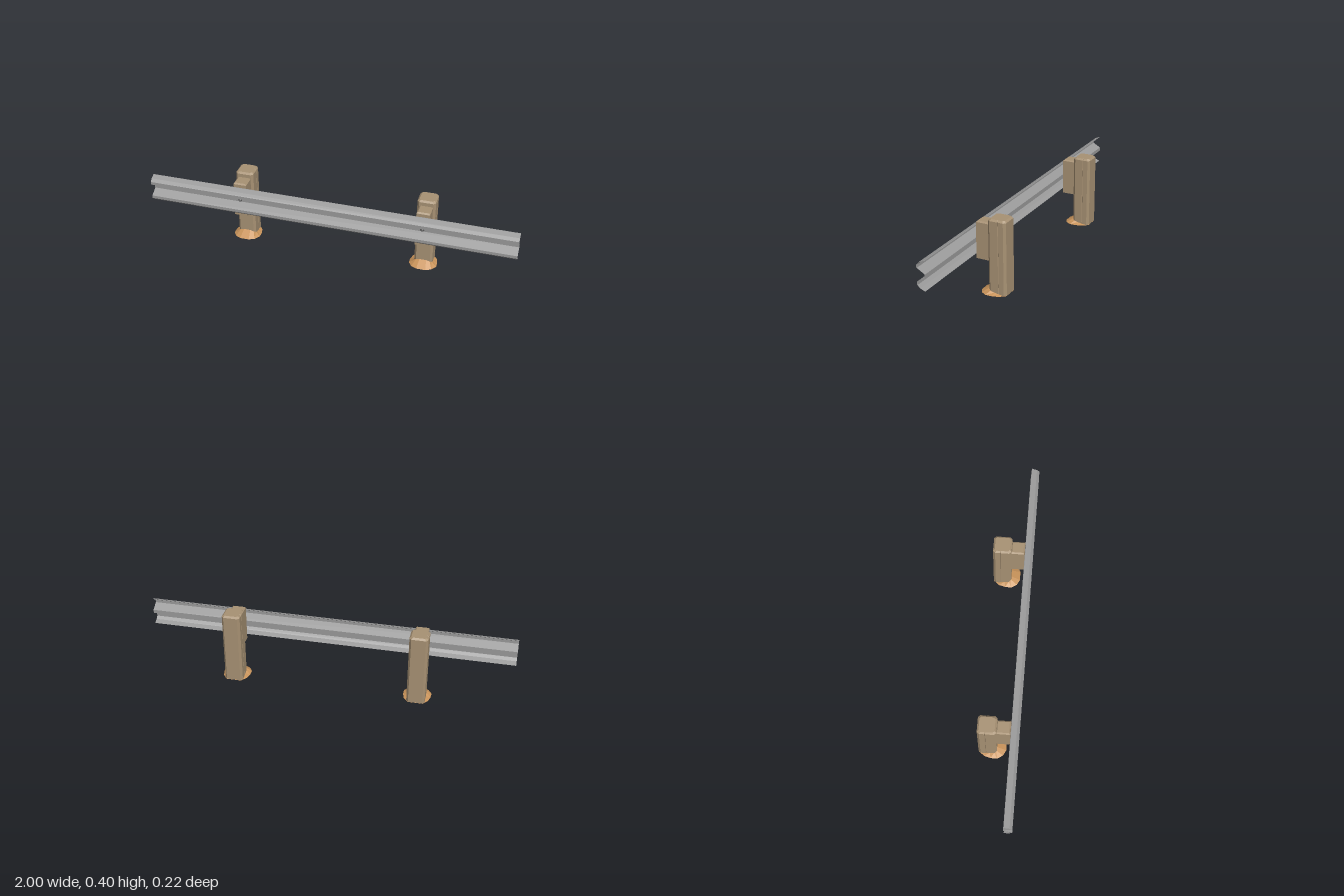
import * as THREE from 'three';

const mat = (name, color, side = THREE.FrontSide) => {
  const m = new THREE.MeshStandardMaterial({ color, side });
  m.name = name;
  return m;
};

// Joins rings of [x, y, z] points (front runs towards +x) and caps both ends.
function loft(rings) {
  const pos = [];
  const n = rings[0].length;
  for (let r = 0; r < rings.length - 1; r++) {
    for (let i = 0; i < n; i++) {
      const j = (i + 1) % n;
      const [a, b, c, d] = [rings[r][i], rings[r][j], rings[r + 1][j], rings[r + 1][i]];
      pos.push(...a, ...b, ...c, ...a, ...c, ...d);
    }
  }
  const cap = (ring, up) => {
    const flat = ring.map(([x, , z]) => new THREE.Vector2(x, z));
    for (const [i, j, k] of THREE.ShapeUtils.triangulateShape(flat, [])) {
      const area = (flat[j].x - flat[i].x) * (flat[k].y - flat[i].y)
        - (flat[j].y - flat[i].y) * (flat[k].x - flat[i].x);
      const order = (area < 0) === up ? [i, j, k] : [i, k, j];
      order.forEach((v) => pos.push(...ring[v]));
    }
  };
  cap(rings[0], false);
  cap(rings[rings.length - 1], true);
  const g = new THREE.BufferGeometry();
  g.setAttribute('position', new THREE.Float32BufferAttribute(pos, 3));
  g.computeVertexNormals();
  return g;
}

// Mirrors the +x half of a ring, listed from front to back.
const mirrorRing = (half) => [...half, ...half.map(([x, y, z]) => [-x, y, z]).reverse()];

// Upright timber from a half outline [x, z], with a bevel round its top.
function timber(half, zMid, depth, width, y0, y1, bevel) {
  const ring = (y, inset) => mirrorRing(half.map(([x, z]) => [
    x * (1 - (2 * inset) / width), y, zMid + (z - zMid) * (1 - (2 * inset) / depth)]));
  return loft([ring(y0, 0), ring(y1 - bevel, 0), ring(y1, bevel)]);
}

export function createModel() {
  const wood = mat('weathered wood', 0xa89274);
  const steel = mat('galvanised steel', 0x9a9a9a, THREE.DoubleSide);
  const boltSteel = mat('dark bolt steel', 0x5c5c5c);
  const sand = mat('sandy soil', 0xc8935a);

  const model = new THREE.Group();
  model.name = 'guardrail';
  const add = (parent, name, geometry, material) => {
    const m = new THREE.Mesh(geometry, material);
    m.name = name;
    parent.add(m);
    return m;
  };

  // Corrugated rail, a thin folded sheet
  const fold = [[0.068, 0.35], [0.094, 0.339], [0.108, 0.324], [0.108, 0.308],
    [0.065, 0.283], [0.065, 0.263], [0.108, 0.237], [0.108, 0.221],
    [0.094, 0.207], [0.068, 0.196]];
  const sheet = [...fold, ...fold.map(([z, y]) => [z - 0.003, y]).reverse()];
  const railShape = new THREE.Shape(sheet.map(([z, y]) => new THREE.Vector2(-z, y)));
  const railGeometry = new THREE.ExtrudeGeometry(railShape, { depth: 2, bevelEnabled: false });
  railGeometry.translate(0, 0, -1).rotateY(Math.PI / 2);
  add(model, 'rail', railGeometry, steel);

  // Post with chamfered corners and a narrow groove down each side
  const postGeometry = timber([[0.038, -0.008], [0.049, -0.02], [0.049, -0.064],
    [0.046, -0.066], [0.049, -0.068], [0.049, -0.095], [0.038, -0.107]],
  -0.0575, 0.099, 0.098, 0.002, 0.4, 0.009);

  // Spacer block between post and rail
  const blockGeometry = timber([[0.036, 0.062], [0.036, -0.012]],
    0.025, 0.074, 0.072, 0.172, 0.373, 0.007);

  // Soil heaped against the front of the post
  const moundGeometry = loft([
    mirrorRing([[0.025, 0, 0.041], [0.055, 0, 0.026], [0.075, 0, -0.005],
      [0.074, 0, -0.04], [0.065, 0, -0.075], [0.04, 0, -0.106]]),
    mirrorRing([[0.018, 0.031, -0.009], [0.037, 0.026, -0.01], [0.047, 0.017, -0.021],
      [0.047, 0.01, -0.045], [0.047, 0.005, -0.068], [0.036, 0.003, -0.1]]),
  ]);

  const boltGeometry = new THREE.CylinderGeometry(0.004, 0.011, 0.011, 8).toNonIndexed();
  boltGeometry.rotateX(Math.PI / 2);
  boltGeometry.computeVertexNormals();

  for (const [side, x] of [['left', 0.5], ['right', -0.5]]) {
    const support = new THREE.Group();
    support.name = `${side}Support`;
    support.position.x = x;
    add(support, 'post', postGeometry, wood);
    add(support, 'spacerBlock', blockGeometry, wood);
    add(support, 'soilMound', moundGeometry, sand);
    add(support, 'bolt', boltGeometry, boltSteel).position.set(0, 0.273, 0.0707);
    model.add(support);
  }
  return model;
}
